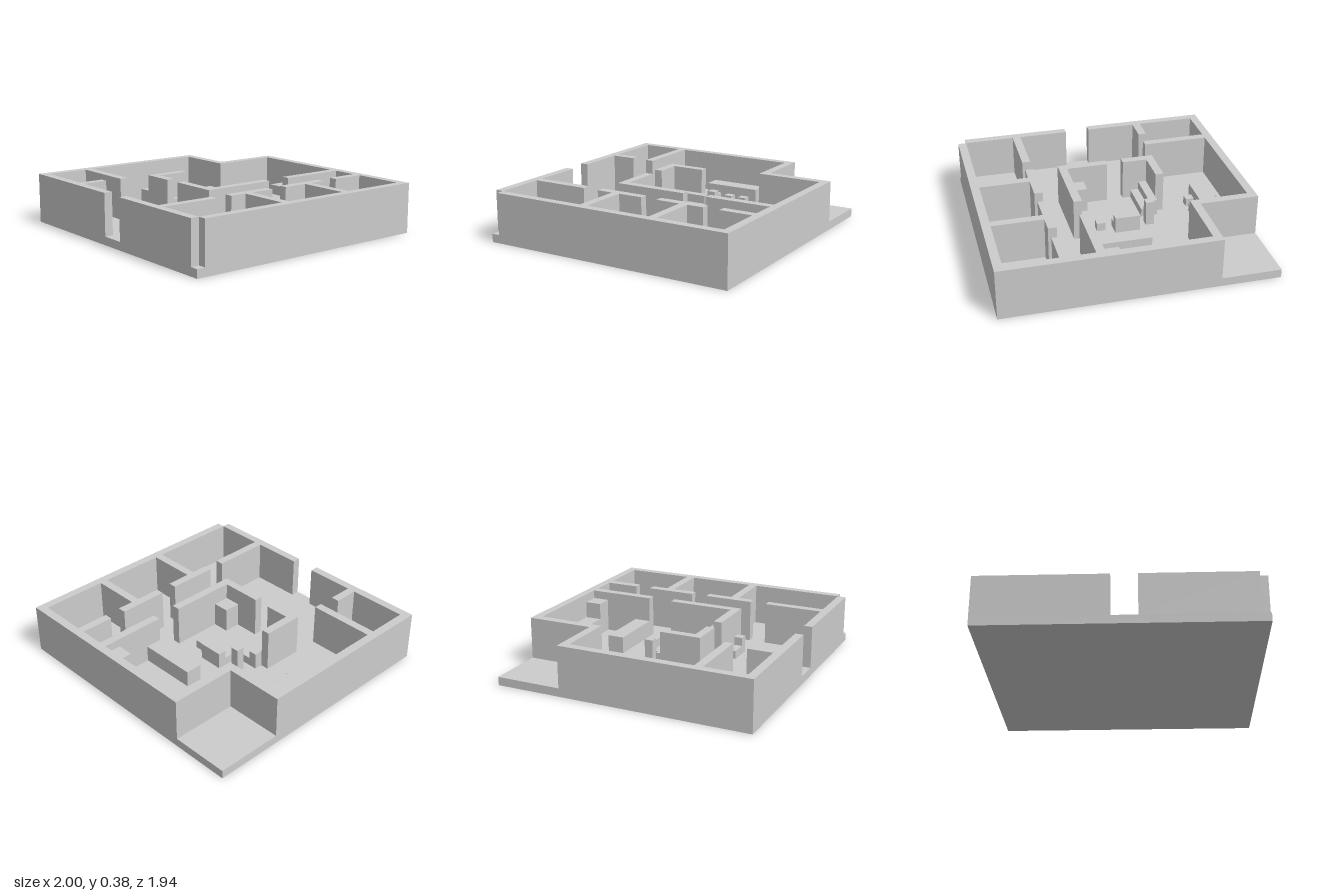
import * as THREE from 'three';

// The house is laid out on a grid of 32 x 31 cells, each 1/16 unit.
const U = 1 / 16, W = 32, D = 31, WALL = 6;
const material = new THREE.MeshStandardMaterial({ color: 0xcccccc, flatShading: true });

// Box from cell x0,z0 to x1,z1, from bottom to top (in cells)
function block(parent, name, [x0, z0, x1, z1], top, bottom = 1) {
  const geo = new THREE.BoxGeometry((x1 - x0) * U, (top - bottom) * U, (z1 - z0) * U);
  const mesh = new THREE.Mesh(geo, material);
  mesh.position.set(((x0 + x1 - W) / 2) * U, ((top + bottom) / 2) * U, ((z0 + z1 - D) / 2) * U);
  mesh.name = name;
  parent.add(mesh);
}

function group(parent, name) {
  const g = new THREE.Group();
  g.name = name;
  parent.add(g);
  return g;
}

export function createModel() {
  const house = new THREE.Group();
  house.name = 'floorPlanHouse';

  block(house, 'floorSlab', [0, 0, W, D], 1, 0);

  // Outer walls, stepped around the terrace, with a front doorway and an open corner
  const outer = group(house, 'outerWalls');
  block(outer, 'backWall', [7, 0, 32, 1], WALL);
  block(outer, 'terraceSideWall', [7, 1, 8, 8], WALL);
  block(outer, 'terraceFrontWall', [0, 8, 8, 9], WALL);
  block(outer, 'rightWall', [0, 9, 1, 30], WALL);
  block(outer, 'leftWall', [31, 1, 32, 30], WALL);
  block(outer, 'frontWallRight', [0, 30, 15, 31], WALL);
  block(outer, 'frontWallLeft', [18, 30, 31, 31], WALL);

  // Corridor wall broken by doorways, and the partitions between the three rooms
  const inner = group(house, 'innerWalls');
  for (const [z0, z1] of [[1, 5], [7, 13], [15, 21], [23, 30]])
    block(inner, 'corridorWall', [24, z0, 25, z1], WALL);
  for (const [x, z] of [[25, 9], [25, 18]])
    block(inner, 'roomPartition', [x, z, 31, z + 1], WALL);

  // Kitchen, entrance and lounge walls
  block(inner, 'kitchenWall', [20, 1, 21, 9], WALL);
  block(inner, 'entranceRoomWall', [1, 24, 9, 25], WALL);
  block(inner, 'entranceStubWall', [8, 27, 9, 30], WALL);
  block(inner, 'loungeRightWall', [9, 16, 10, 20], WALL);
  block(inner, 'loungeFrontRightWall', [9, 20, 13, 21], WALL);
  block(inner, 'loungeLeftWall', [20, 12, 21, 20], WALL);
  block(inner, 'loungeFrontLeftWall', [15, 20, 21, 21], WALL);

  // Kitchen
  const kitchen = group(house, 'kitchen');
  block(kitchen, 'backCounter', [11, 1, 18, 3], 3);
  block(kitchen, 'fridge', [18, 1, 20, 3], 5);
  block(kitchen, 'barCounter', [13, 7, 20, 9], 3);

  // Dining table with three chairs on each side
  const dining = group(house, 'diningSet');
  block(dining, 'diningTable', [3, 11, 5, 18], 3);
  for (const x of [2, 5])
    for (const z of [12, 14, 16]) block(dining, 'chair', [x, z, x + 1, z + 1], 2);

  // Lounge
  const lounge = group(house, 'lounge');
  block(lounge, 'smallSofaBack', [13, 12, 16, 13], 3);
  block(lounge, 'smallSofaSeat', [13, 13, 16, 14], 2);
  block(lounge, 'floorLamp', [11, 13, 12, 14], 4);
  block(lounge, 'sideTable', [17, 13, 18, 14], 2);
  block(lounge, 'longSofaBack', [10, 15, 11, 20], 3);
  block(lounge, 'longSofaSeat', [11, 15, 12, 20], 2);
  block(lounge, 'cornerCabinet', [18, 18, 20, 20], 4);

  // Entrance bench with a taller end
  const hall = group(house, 'entranceBench');
  block(hall, 'bench', [17, 21, 19, 22], 2);
  block(hall, 'benchEnd', [19, 21, 20, 22], 3);

  return house;
}
